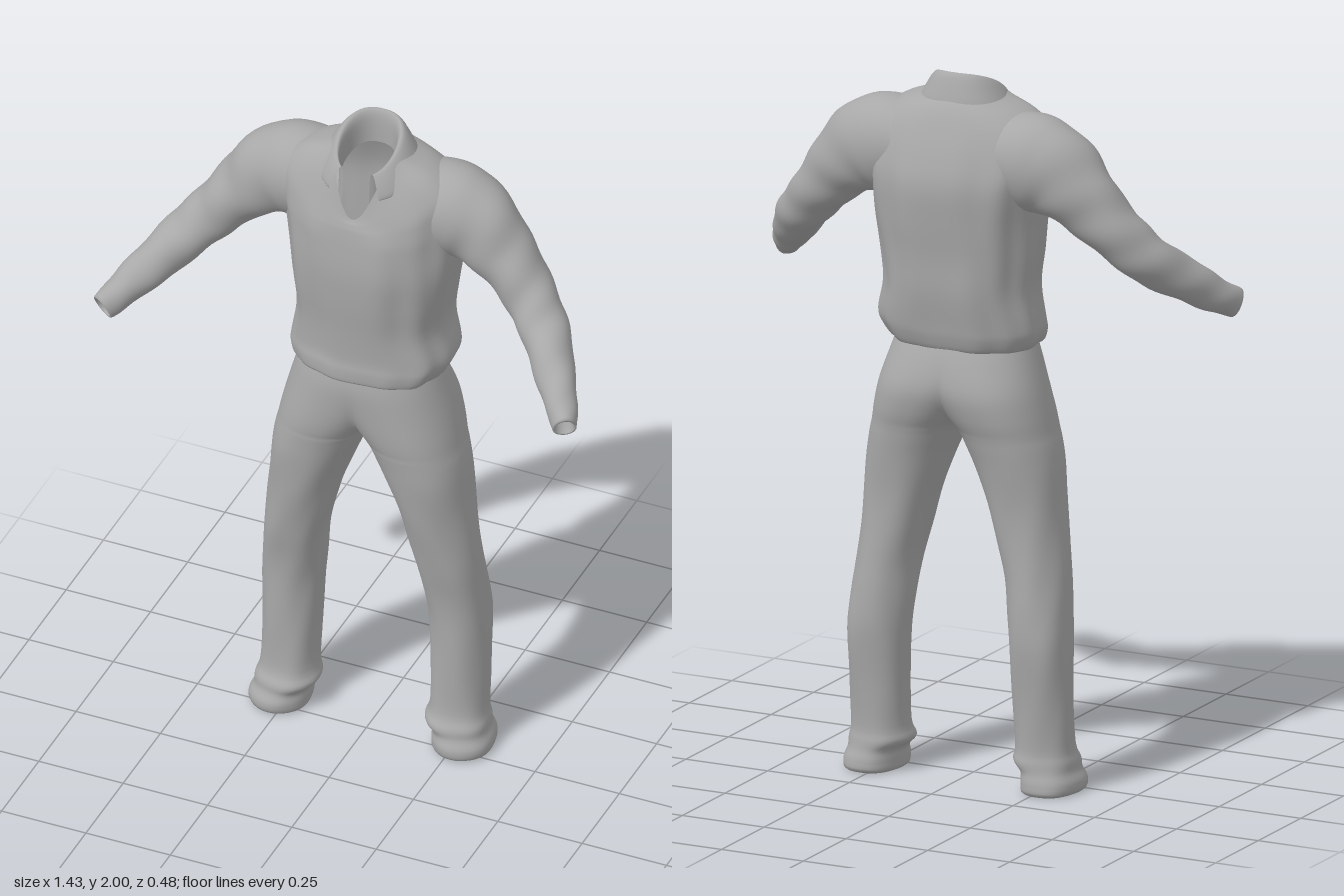
import * as THREE from 'three';
import { mergeGeometries, mergeVertices } from 'three/addons/utils/BufferGeometryUtils.js';

// Skin a list of rows of points (all the same length) into a grid.
function loft(rows) {
  const w = rows[0].length, pos = [], idx = [];
  rows.forEach((row) => row.forEach((p) => pos.push(p[0], p[1], p[2])));
  for (let i = 0; i < rows.length - 1; i++) {
    for (let j = 0; j < w - 1; j++) {
      const a = i * w + j, b = a + 1, c = a + w, d = c + 1;
      idx.push(a, c, b, b, c, d);
    }
  }
  const g = new THREE.BufferGeometry();
  g.setAttribute('position', new THREE.Float32BufferAttribute(pos, 3));
  g.setIndex(idx);
  return g;
}

// Weld seams and shade smoothly.
function finish(g) {
  const m = mergeVertices(g, 1e-4);
  m.computeVertexNormals();
  return m;
}

function mirrored(g) {
  const m = g.clone().scale(-1, 1, 1), ix = m.index.array;
  for (let i = 0; i < ix.length; i += 3) [ix[i], ix[i + 1]] = [ix[i + 1], ix[i]];
  return m;
}

// Catmull-Rom interpolation of every column of a key table.
function smooth(keys, steps) {
  const out = [], last = keys.length - 1;
  const at = (i) => keys[Math.min(last, Math.max(0, i))];
  for (let i = 0; i < last; i++) {
    for (let s = 0; s < steps; s++) {
      const t = s / steps;
      out.push(keys[i].map((_, k) => {
        const a = at(i - 1)[k], b = at(i)[k], c = at(i + 1)[k], d = at(i + 2)[k];
        return b + 0.5 * t * (c - a + t * (2 * a - 5 * b + 4 * c - d + t * (3 * (b - c) + d - a)));
      }));
    }
  }
  out.push(keys[last]);
  return out;
}

const power = (v, e) => Math.sign(v) * Math.abs(v) ** e;
const clamp = THREE.MathUtils.clamp;

// Shirt body: [y, centre x, half width, front z, back z, front dip for the open neck]
function shirtBody() {
  const keys = [
    [1.25, 0, 0.185, 0.1, -0.165, 0],
    [1.235, 0, 0.205, 0.114, -0.182, 0],
    [1.27, 0.005, 0.226, 0.115, -0.197, 0],
    [1.31, 0.01, 0.23, 0.11, -0.205, 0],
    [1.4, 0.005, 0.213, 0.115, -0.22, 0],
    [1.5, 0.005, 0.224, 0.125, -0.225, 0],
    [1.6, 0.008, 0.236, 0.13, -0.235, 0],
    [1.7, 0.004, 0.247, 0.122, -0.24, 0.01],
    [1.78, 0, 0.258, 0.113, -0.222, 0.045],
    [1.85, 0, 0.25, 0.107, -0.195, 0.1],
    [1.9, 0, 0.195, 0.103, -0.17, 0.142],
    [1.93, 0, 0.12, 0.099, -0.145, 0.167],
    [1.945, 0, 0.085, 0.095, -0.12, 0.175],
  ];
  const n = 80;
  return finish(loft(smooth(keys, 4).map(([y, cx, rx, zf, zb, dip]) => {
    const neck = clamp((1.93 - y) / 0.2, 0, 1), e = 1 - 0.2 * neck;
    return Array.from({ length: n + 1 }, (_, j) => {
      const t = ((j % n) / n) * Math.PI * 2, c = Math.cos(t), s = Math.sin(t);
      const fold = 1 + neck * (0.012 * Math.sin(7 * t + 7 * y) + 0.012 * Math.sin(12 * t - 5 * y));
      return [
        cx + rx * fold * power(c, e),
        y - dip * Math.max(0, s) ** 2.5,
        (zf + zb) / 2 + ((zf - zb) / 2) * fold * power(s, e),
      ];
    });
  })));
}

// Sleeve: [x, y, z, half depth, half height], ending in a turned-in cuff
function sleeve() {
  const keys = [
    [0.16, 1.775, -0.07, 0.12, 0.125],
    [0.23, 1.765, -0.073, 0.12, 0.138],
    [0.305, 1.735, -0.07, 0.104, 0.125],
    [0.385, 1.665, -0.058, 0.088, 0.092],
    [0.465, 1.58, -0.035, 0.075, 0.075],
    [0.53, 1.51, 0.01, 0.069, 0.068],
    [0.595, 1.445, 0.09, 0.058, 0.06],
    [0.65, 1.39, 0.165, 0.045, 0.049],
    [0.685, 1.357, 0.22, 0.034, 0.041],
  ];
  const n = 36, path = smooth(keys, 6), up = new THREE.Vector3(0, 1, 0);
  const pts = path.map((k) => new THREE.Vector3(k[0], k[1], k[2]));
  const ring = (i, scale, tuck) => {
    const dir = pts[Math.min(i + 1, pts.length - 1)].clone().sub(pts[Math.max(i - 1, 0)]).normalize();
    const side = dir.clone().cross(up).normalize(), rise = side.clone().cross(dir);
    const wrinkle = clamp((i - 6) / 12, 0, 1);
    return Array.from({ length: n + 1 }, (_, j) => {
      const t = ((j % n) / n) * Math.PI * 2;
      const f = scale * (1 + wrinkle * (0.03 * Math.sin(2 * t + i * 0.9) + 0.02 * Math.sin(3 * t - i * 0.6)));
      return pts[i].clone()
        .addScaledVector(side, path[i][3] * f * Math.cos(t))
        .addScaledVector(rise, path[i][4] * f * Math.sin(t))
        .addScaledVector(dir, -tuck).toArray();
    });
  };
  const end = pts.length - 1, rows = pts.map((_, i) => ring(i, 1, 0));
  rows.push(ring(end, 0.82, 0), ring(end, 0.75, 0.03), ring(end, 0.01, 0.035));
  return finish(loft(rows));
}

// Folded collar: stand, top ridge and falling leaf, open at the front
function collar() {
  const n = 60, gap = 0.5;
  // [half width, back z, front z, back y, front y]
  const profile = [
    [0.074, -0.1, 0.085, 1.9, 1.8],
    [0.074, -0.103, 0.078, 1.97, 1.885],
    [0.083, -0.113, 0.075, 2.0, 1.905],
    [0.098, -0.126, 0.08, 1.992, 1.9],
    [0.12, -0.14, 0.092, 1.955, 1.875],
    [0.138, -0.15, 0.1, 1.92, 1.845],
    [0.132, -0.145, 0.092, 1.915, 1.84],
  ];
  const rows = smooth(profile, 3).map(([rx, zb, zf, yb, yf]) =>
    Array.from({ length: n + 1 }, (_, j) => {
      const a = gap + (j / n) * (Math.PI * 2 - gap * 2);
      const front = (1 + Math.cos(a)) / 2;
      return [rx * power(Math.sin(a), 0.85), yb + (yf - yb) * front ** 1.3, zb + (zf - zb) * front];
    }));
  return finish(loft(rows));
}

// Trousers: [y, leg centre x, half width, front z, back z]; rows above the crotch stop at x = 0
function trousers() {
  const keys = [
    [0, 0.267, 0.01, -0.04, -0.06],
    [0, 0.27, 0.074, 0.042, -0.148],
    [0.03, 0.27, 0.083, 0.055, -0.156],
    [0.06, 0.263, 0.078, 0.042, -0.148],
    [0.088, 0.25, 0.089, 0.04, -0.146],
    [0.13, 0.25, 0.08, 0.02, -0.14],
    [0.25, 0.25, 0.08, 0.015, -0.15],
    [0.4, 0.247, 0.083, 0.015, -0.168],
    [0.5, 0.238, 0.085, 0.025, -0.165],
    [0.6, 0.227, 0.086, 0.045, -0.157],
    [0.7, 0.208, 0.093, 0.06, -0.155],
    [0.8, 0.188, 0.102, 0.075, -0.16],
    [0.9, 0.165, 0.117, 0.09, -0.172],
    [0.96, 0.147, 0.126, 0.096, -0.182],
    [1.0, 0.132, 0.131, 0.1, -0.19],
    [1.05, 0.106, 0.147, 0.105, -0.205],
    [1.12, 0.066, 0.17, 0.108, -0.215],
    [1.2, 0.02, 0.192, 0.11, -0.197],
    [1.26, 0, 0.193, 0.1, -0.172],
  ];
  const n = 48, e = 0.9;
  const leg = loft(smooth(keys, 4).map(([y, centre, rx, zf, zb]) => {
    const cx = Math.max(0, centre);
    const stop = cx < rx ? Math.acos(-((cx / rx) ** (1 / e))) : Math.PI;
    const loose = clamp((0.98 - y) / 0.2, 0, 1);
    return Array.from({ length: n + 1 }, (_, j) => {
      const t = stop * ((2 * j) / n - 1);
      const fold = 1 + loose * (0.02 * Math.sin(3 * t + 11 * y) + 0.015 * Math.sin(5 * t - 17 * y));
      return [
        Math.max(0, cx + rx * fold * power(Math.cos(t), e)),
        Math.max(0, y),
        (zf + zb) / 2 + ((zf - zb) / 2) * fold * power(Math.sin(t), e),
      ];
    });
  }));
  return finish(mergeGeometries([leg, mirrored(leg)]));
}

export function createModel() {
  const cloth = new THREE.MeshStandardMaterial({ color: 0xa8a8a8, side: THREE.DoubleSide });
  cloth.name = 'grey cloth';
  const model = new THREE.Group();
  model.name = 'shirtAndTrousers';
  const add = (name, geometry) => {
    const mesh = new THREE.Mesh(geometry, cloth);
    mesh.name = name;
    model.add(mesh);
  };
  const arm = sleeve();
  add('shirtBody', shirtBody());
  add('leftSleeve', arm);
  add('rightSleeve', finish(mirrored(arm).deleteAttribute('normal')));
  add('collar', collar());
  add('trousers', trousers());
  return model;
}
